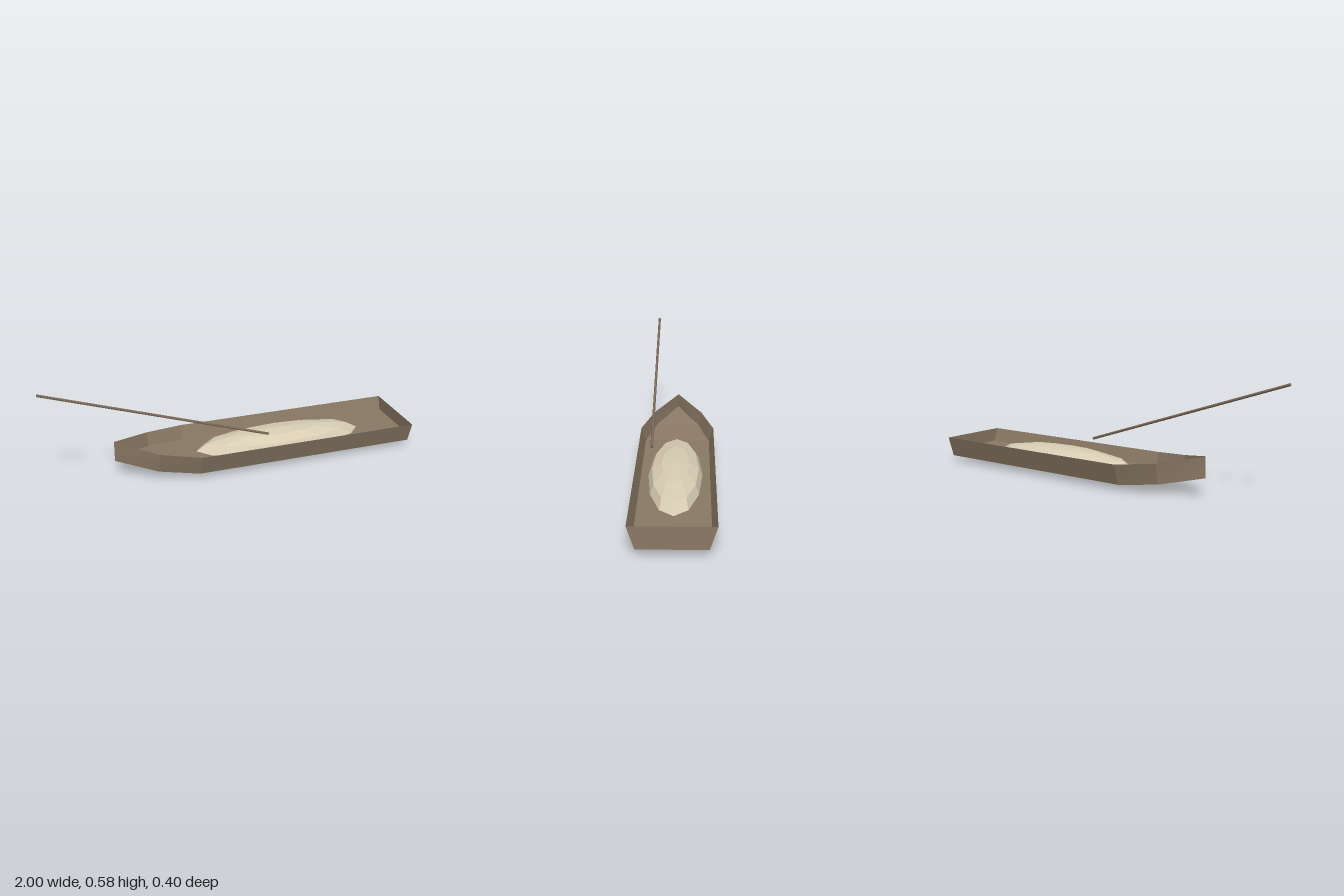
import * as THREE from 'three';

const wood = new THREE.MeshStandardMaterial({ color: 0x8a7965, side: THREE.DoubleSide });
wood.name = 'weathered wood';
const sand = new THREE.MeshStandardMaterial({ color: 0xd8cdb3, flatShading: true });
sand.name = 'pale sand';
const darkWood = new THREE.MeshStandardMaterial({ color: 0x7a6957, flatShading: true });
darkWood.name = 'dark wood';

// Hull stations from stern to bow: x, bottom y, bottom half width, top y, top half width
const stations = [
  [1, 0.032, 0.164, 0.143, 0.2],
  [-0.208, 0.032, 0.164, 0.143, 0.2],
  [-0.414, 0.053, 0.111, 0.163, 0.135],
  [-0.62, 0.094, 0, 0.205, 0],
];

// Point on the hull side: f runs from 0 at the bottom to 1 at the rim
function hullPoint([x, y0, w0, y1, w1], f, side) {
  return [x, y0 + (y1 - y0) * f, side * (w0 + (w1 - w0) * f)];
}

// Mesh from a list of four-cornered faces, each shaded evenly
function quadMesh(name, quads, material) {
  const geo = new THREE.BufferGeometry();
  geo.setAttribute('position', new THREE.Float32BufferAttribute(quads.flat(2), 3));
  geo.setIndex(quads.flatMap((_, i) => [0, 1, 2, 0, 2, 3].map((k) => i * 4 + k)));
  geo.computeVertexNormals();
  const mesh = new THREE.Mesh(geo, material);
  mesh.name = name;
  return mesh;
}

// Plank layer across the hull at height fraction f, facing up or down
function deck(name, f, up) {
  const quads = [];
  for (let i = 0; i < stations.length - 1; i++) {
    const s = stations[i], t = stations[i + 1];
    const q = [hullPoint(s, f, 1), hullPoint(s, f, -1), hullPoint(t, f, -1), hullPoint(t, f, 1)];
    quads.push(up ? q : q.reverse());
  }
  return quadMesh(name, quads, wood);
}

// One side wall
function sideWall(name, side) {
  const quads = [];
  for (let i = 0; i < stations.length - 1; i++) {
    const s = stations[i], t = stations[i + 1];
    const q = [hullPoint(t, 0, side), hullPoint(s, 0, side), hullPoint(s, 1, side), hullPoint(t, 1, side)];
    quads.push(side > 0 ? q : q.reverse());
  }
  return quadMesh(name, quads, wood);
}

export function createModel() {
  const group = new THREE.Group();
  group.name = 'boat';

  // Hull
  const hull = new THREE.Group();
  hull.name = 'hull';
  const stern = stations[0];
  hull.add(
    sideWall('leftWall', 1),
    sideWall('rightWall', -1),
    quadMesh('sternBoard', [[hullPoint(stern, 0, 1), hullPoint(stern, 0, -1), hullPoint(stern, 1, -1), hullPoint(stern, 1, 1)]], wood),
    deck('bottom', 0, false),
    deck('floor', 0.33, true),
  );
  group.add(hull);

  // Rounded cargo mound, bulging through the bottom
  const mound = new THREE.Mesh(new THREE.SphereGeometry(1, 12, 6), sand);
  mound.name = 'cargoMound';
  mound.scale.set(0.47, 0.075, 0.137);
  mound.position.set(0.29, 0.075, 0);
  group.add(mound);

  // Slanted punting pole
  const a = new THREE.Vector3(-0.998, 0.575, 0.125);
  const b = new THREE.Vector3(0.181, 0.184, 0.125);
  const dir = b.clone().sub(a);
  const pole = new THREE.Mesh(new THREE.CylinderGeometry(0.007, 0.007, dir.length(), 8), darkWood);
  pole.name = 'pole';
  pole.position.copy(a).add(b).multiplyScalar(0.5);
  pole.quaternion.setFromUnitVectors(new THREE.Vector3(0, 1, 0), dir.normalize());
  group.add(pole);

  return group;
}
